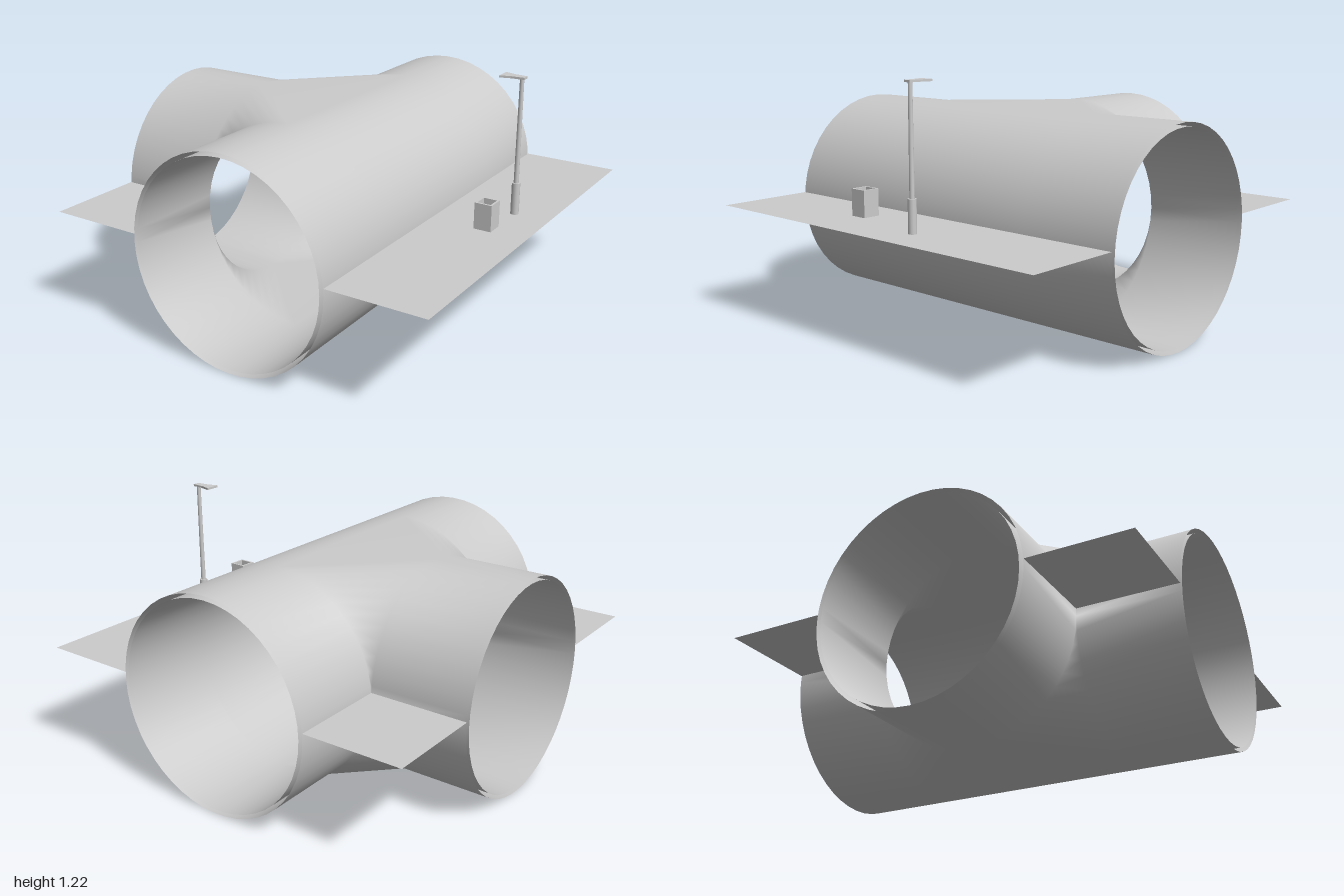
import * as THREE from 'three';
import { mergeVertices } from 'three/addons/utils/BufferGeometryUtils.js';

const R = 0.5175, WALL = 0.02, GROUND = 0.555, SEG = 48;
const grey = new THREE.MeshStandardMaterial({ color: 0xcccccc, side: THREE.DoubleSide });

function add(parent, name, geometry, x = 0, y = 0, z = 0) {
  const mesh = new THREE.Mesh(geometry, grey);
  mesh.name = name;
  mesh.position.set(x, y, z);
  parent.add(mesh);
  return mesh;
}

// One skin of a T-junction: pipe along z, branch towards -x, ruled blends in the corners
function teeGeometry(r, inward) {
  const pos = [];
  const tri = (a, b, c) => {
    const n = b.clone().sub(a).cross(c.clone().sub(a));
    if (n.length() < 1e-9) return;
    const mid = a.clone().add(b).add(c);
    const order = (n.dot(mid) > 0) !== inward ? [a, b, c] : [a, c, b];
    for (const p of order) pos.push(p.x, p.y, p.z);
  };
  const strip = (p, q) => {
    for (let i = 0; i < p.length - 1; i++) {
      tri(p[i], p[i + 1], q[i + 1]);
      tri(p[i], q[i + 1], q[i]);
    }
  };
  // Half ring from top to bottom, bulging to the given side
  const half = (side, place) => Array.from({ length: SEG / 2 + 1 }, (_, i) => {
    const t = (i / SEG) * Math.PI * 2;
    return place(side * r * Math.sin(t), r * Math.cos(t));
  });
  const main = (side, z) => half(side, (u, y) => new THREE.Vector3(u, y, z));
  const branch = (side, x) => half(side, (u, y) => new THREE.Vector3(x, y, u));

  strip(main(1, r), main(1, -r));
  for (const s of [-1, 1]) {
    for (const side of [-1, 1]) strip(main(side, s), main(side, s * r));
    strip(branch(s, -1), branch(s, -r));
    strip(main(-1, s * r), branch(s, -r));
    // Flat crown and invert of the junction
    tri(new THREE.Vector3(0, s * r, -r), new THREE.Vector3(-r, s * r, 0), new THREE.Vector3(0, s * r, r));
  }
  const g = new THREE.BufferGeometry();
  g.setAttribute('position', new THREE.Float32BufferAttribute(pos, 3));
  const merged = mergeVertices(g, 1e-5);
  merged.computeVertexNormals();
  return merged;
}

function slab(parent, name, x0, x1, z0, z1) {
  const g = new THREE.PlaneGeometry(x1 - x0, z1 - z0).rotateX(-Math.PI / 2);
  add(parent, name, g, (x0 + x1) / 2, GROUND, (z0 + z1) / 2);
}

export function createModel() {
  const model = new THREE.Group();
  model.name = 'tunnelJunction';

  // Double-skinned, open-ended tunnel
  add(model, 'outerTunnelShell', teeGeometry(R, false), 0, R, 0);
  add(model, 'innerTunnelShell', teeGeometry(R - WALL, true), 0, R, 0);

  // Ground sheets beside the tunnels
  slab(model, 'groundLeft', R, 1, -1, 1);
  slab(model, 'groundRightFront', -1, -R, R, 1);
  slab(model, 'groundRightBack', -1, -R, -1, -R);

  // Open-topped box: square wall with a recessed floor
  const bin = new THREE.Group();
  bin.name = 'openBox';
  bin.position.set(0.823, 0.593, 0.152);
  model.add(bin);
  const w = 0.042, h = 0.032;
  const wall = new THREE.Shape([[-w, -w], [w, -w], [w, w], [-w, w]].map(p => new THREE.Vector2(...p)));
  wall.holes.push(new THREE.Path([[-h, -h], [-h, h], [h, h], [h, -h]].map(p => new THREE.Vector2(...p))));
  add(bin, 'boxWall', new THREE.ExtrudeGeometry(wall, { depth: 0.125, bevelEnabled: false }).rotateX(-Math.PI / 2));
  add(bin, 'boxFloor', new THREE.BoxGeometry(2 * h, 0.09, 2 * h), 0, 0.045, 0);

  // Street lamp with a flared flat head reaching towards the tunnel
  const lamp = new THREE.Group();
  lamp.name = 'streetLamp';
  lamp.position.set(0.822, GROUND, -0.157);
  model.add(lamp);
  add(lamp, 'lampBase', new THREE.CylinderGeometry(0.02, 0.02, 0.155, 12), 0, 0.0775, 0);
  add(lamp, 'lampPole', new THREE.CylinderGeometry(0.01, 0.012, 0.505, 12), 0, 0.4075, 0);
  const head = new THREE.Shape([
    [-0.097, -0.037], [-0.045, -0.022], [0.018, -0.017],
    [0.018, 0.017], [-0.045, 0.022], [-0.097, 0.037],
  ].map(p => new THREE.Vector2(...p)));
  add(lamp, 'lampHead', new THREE.ExtrudeGeometry(head, { depth: 0.01, bevelEnabled: false }).rotateX(-Math.PI / 2), 0, 0.656, 0);

  return model;
}
